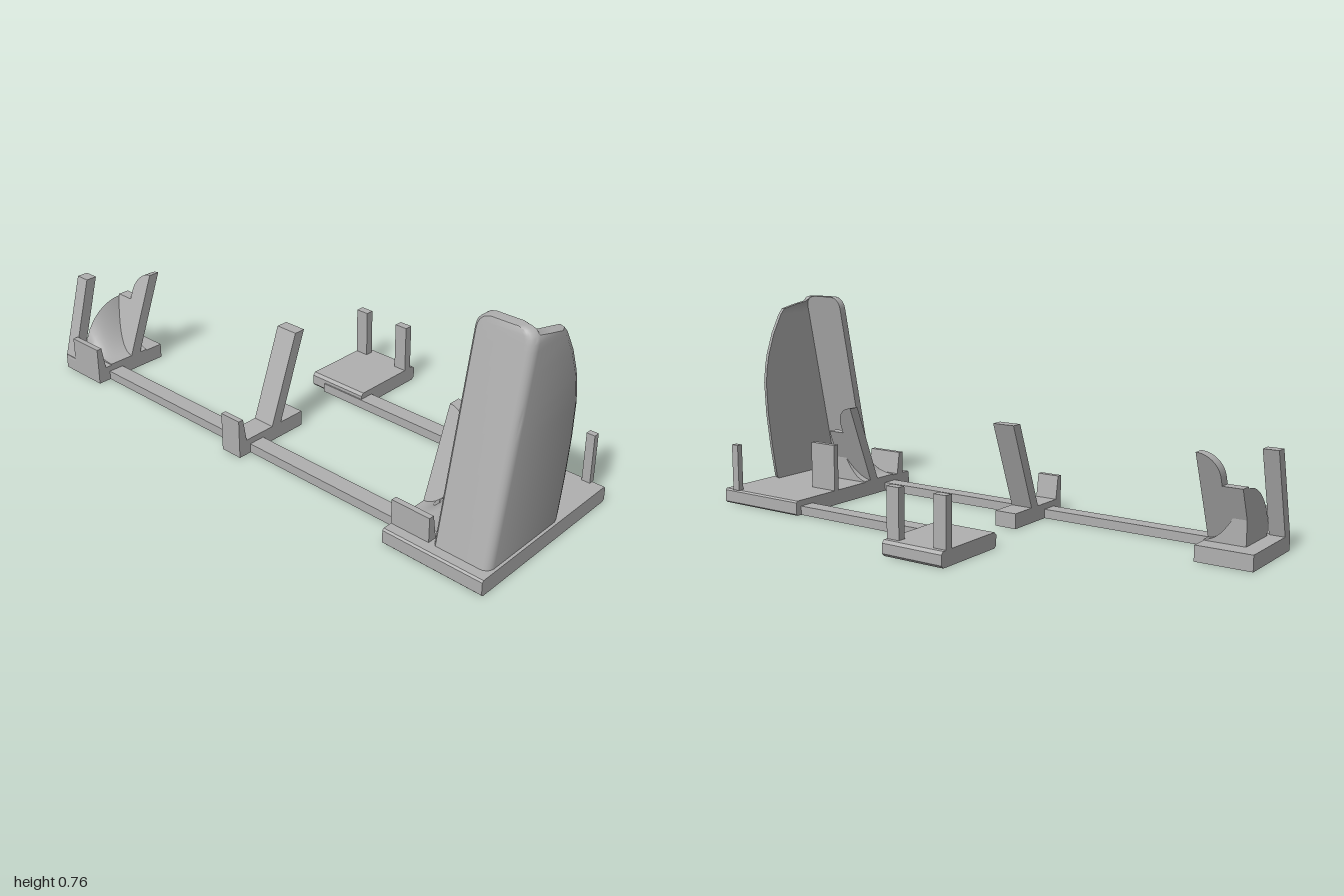
import * as THREE from 'three';
import { toCreasedNormals } from 'three/addons/utils/BufferGeometryUtils.js';

const T = 0.055; // base plate thickness

export function createModel() {
  const model = new THREE.Group();
  const grey = new THREE.MeshStandardMaterial({ color: 0xb0b0b0 });
  grey.name = 'matte grey';

  const add = (name, geo) => {
    const mesh = new THREE.Mesh(geo, grey);
    mesh.name = name;
    model.add(mesh);
  };
  const box = (name, x0, x1, y0, y1, z0, z1) => add(name,
    new THREE.BoxGeometry(x1 - x0, y1 - y0, z1 - z0).translate((x0 + x1) / 2, (y0 + y1) / 2, (z0 + z1) / 2));

  // side profile of [z, y] points, extruded from x0 to x1
  const prism = (name, pts, x0, x1) => {
    const shape = new THREE.Shape(pts.map(p => new THREE.Vector2(...p)));
    add(name, new THREE.ExtrudeGeometry(shape, { depth: x1 - x0, bevelEnabled: false })
      .rotateY(-Math.PI / 2).translate(x1, 0, 0));
  };

  // front outline of [x, y] points, extruded and leaned backwards
  const leaning = (name, pts, zFront, slope, depth) => {
    const shape = new THREE.Shape(pts.map(p => new THREE.Vector2(...p)));
    const geo = new THREE.ExtrudeGeometry(shape, { depth, bevelEnabled: false });
    const p = geo.attributes.position;
    for (let i = 0; i < p.count; i++) {
      p.setZ(i, p.getZ(i) + zFront - depth - slope * (p.getY(i) - T));
    }
    geo.computeVertexNormals();
    add(name, toCreasedNormals(geo, 0.6));
  };
  const rect = (x0, x1, y1) => [[x0, T - 0.01], [x1, T - 0.01], [x1, y1], [x0, y1]];
  const plate = (z0, z1, c) => [[z0 + c, 0], [z1 - c, 0], [z1, c], [z1, T - c], [z1 - c, T], [z0 + c, T], [z0, T - c], [z0, c]];
  const lip = [[0.36, T - 0.01], [0.395, T - 0.01], [0.395, 0.14], [0.375, 0.14]];

  // base plates and the bars joining them
  box('leftEndBase', -1, -0.8, 0, T, 0.095, 0.395);
  box('middleBase', -0.12, -0.035, 0, T, 0.095, 0.395);
  prism('mainPlatform', plate(-0.22, 0.435, 0.006), 0.63, 1);
  prism('rearBase', plate(-0.44, -0.14, 0.01), -0.2, 0.04);
  box('frontBar', -0.8, 0.63, 0, 0.033, 0.285, 0.345);
  box('rearBar', -0.14, 0.63, 0, 0.033, -0.195, -0.135);

  // upright posts
  box('rearPost', -0.2, -0.15, T, 0.23, -0.415, -0.385);
  box('rearPost', -0.01, 0.04, T, 0.23, -0.415, -0.385);
  box('platformPost', 0.925, 0.955, T, 0.23, -0.222, -0.2);
  box('platformWidePost', 0.63, 0.745, T, 0.23, -0.012, 0.01);

  // middle rest: leaning back support and front lip
  leaning('middleSupport', rect(-0.12, -0.035, 0.37), 0.24, 0.38, 0.042);
  prism('middleLip', lip, -0.12, -0.035);
  leaning('outerPost', rect(-1, -0.945, 0.355), 0.393, 0.28, 0.042);

  // scooped end cradles, one the mirror of the other
  for (const [x0, s] of [[-0.8, -1], [0.63, 1]]) {
    const w = 0.145;
    const outline = [[x0, T - 0.01], [x0, 0.357]];
    for (let i = 1; i <= 10; i++) {
      const a = i / 10 * Math.PI / 2;
      outline.push([x0 + s * 0.075 * Math.sin(a), 0.28 + 0.077 * Math.cos(a)]);
    }
    outline.push([x0 + s * 0.075, 0.25], [x0 + s * w, 0.25], [x0 + s * w, T - 0.01]);
    leaning('cradleBack', outline, 0.24, 0.38, 0.042);
    prism('cradleLip', lip, Math.min(x0, x0 + s * w), Math.max(x0, x0 + s * w));

    // bowl: a block whose top falls from the outer cheek to the floor
    const bowl = new THREE.BoxGeometry(w, 1, 0.17, 10, 1, 10);
    const p = bowl.attributes.position;
    for (let i = 0; i < p.count; i++) {
      const t = 0.5 + s * p.getX(i) / w;
      const v = (p.getZ(i) + 0.085) / 0.17;
      const cheek = 0.04 + 0.195 * Math.sqrt(Math.max(0, 1 - v * v * 0.9));
      const y = p.getY(i) > 0 ? T + 0.004 + (cheek - 0.05) * t * t : T - 0.01;
      p.setXYZ(i, x0 + s * w / 2 + p.getX(i), y, 0.165 + 0.17 * v);
    }
    bowl.computeVertexNormals();
    add('cradleBowl', toCreasedNormals(bowl, 0.7));
  }

  add('cornerShield', shieldGeometry());
  return model;
}

// L-shaped shield: sloped front wall and curved side wall, lofted upwards
function shieldGeometry() {
  // height, rear edge of the side wall
  const levels = [[0.05, 0.03], [0.065, 0.017], [0.19, -0.005], [0.32, -0.022], [0.44, -0.028],
    [0.5, -0.021], [0.55, -0.01], [0.63, 0.02], [0.7, 0.06], [0.722, 0.08], [0.735, 0.14],
    [0.745, 0.195], [0.753, 0.203], [0.76, 0.204], [0.765, 0.204]];
  const pos = [], idx = [];
  let ring;
  for (const [y, zb] of levels) {
    const zf = 0.395 - (y - 0.055) * 0.211;
    const k = Math.min(1, Math.max(0, (y - 0.722) / 0.043));
    const inset = 0.04 * (1 - Math.sqrt(1 - k * k));
    const xl = 0.79 + inset, xr = 0.99 - inset, r = 0.03;
    ring = [[xl, zf - 0.04], [xl, zf - 0.01], [xl + 0.01, zf]];
    for (let i = 0; i <= 5; i++) {
      const a = i / 5 * Math.PI / 2;
      ring.push([xr - r + r * Math.sin(a), zf - r + r * Math.cos(a)]);
    }
    ring.push([xr, Math.min(zb + 0.03, zf - r - 0.001)], [xr - 0.01, zb + 0.008],
      [xr - 0.03, zb], [xr - 0.03, zf - 0.04]);
    for (const [x, z] of ring) pos.push(x, y, z);
  }
  const n = ring.length;
  for (let j = 0; j < levels.length - 1; j++) {
    for (let i = 0; i < n; i++) {
      const a = j * n + i, b = j * n + (i + 1) % n;
      idx.push(a, b, b + n, a, b + n, a + n);
    }
  }
  // top cap
  const top = (levels.length - 1) * n;
  const cap = THREE.ShapeUtils.triangulateShape(ring.map(([x, z]) => new THREE.Vector2(x, -z)), []);
  for (const f of cap) idx.push(top + f[0], top + f[1], top + f[2]);
  const geo = new THREE.BufferGeometry();
  geo.setAttribute('position', new THREE.Float32BufferAttribute(pos, 3));
  geo.setIndex(idx);
  geo.computeVertexNormals();
  return toCreasedNormals(geo, 0.6);
}
